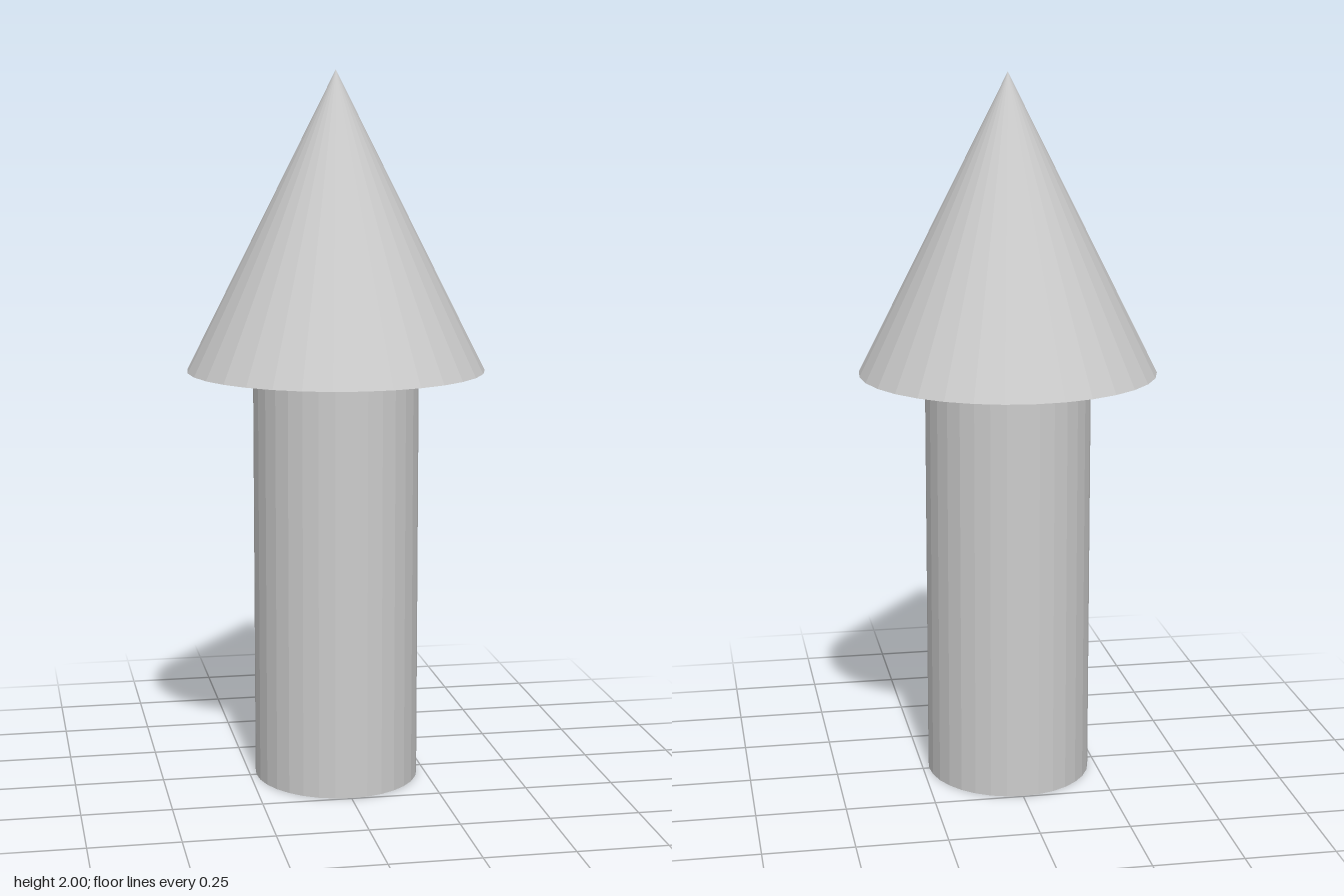
import * as THREE from 'three';

export function createModel() {
  const group = new THREE.Group();
  const material = new THREE.MeshStandardMaterial({ color: 0xcccccc, flatShading: true });
  const sides = 32;
  const height = 2;
  const headBase = 1.17;
  const headHeight = height - headBase;

  // Slightly oval shaft, standing on the ground
  const shaft = new THREE.Mesh(
    new THREE.CylinderGeometry(1, 1, headBase, sides).scale(0.232, 1, 0.247),
    material
  );
  shaft.name = 'shaft';
  shaft.position.y = headBase / 2;
  group.add(shaft);

  // Pointed conical head with a flat underside
  const head = new THREE.Mesh(new THREE.ConeGeometry(0.417, headHeight, sides), material);
  head.name = 'head';
  head.position.y = headBase + headHeight / 2;
  group.add(head);

  return group;
}
